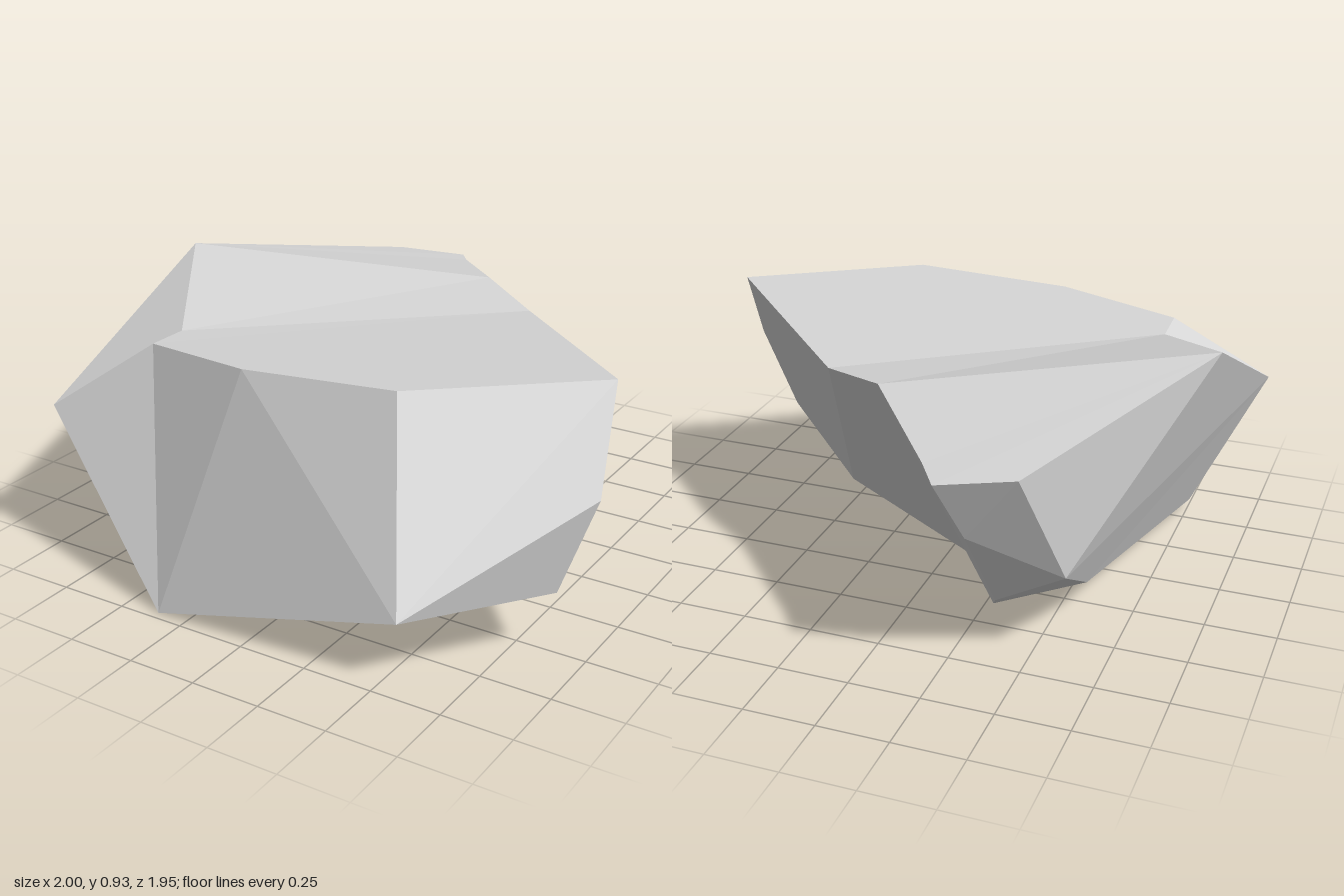
import * as THREE from 'three';

// Named corners of the faceted boulder
const P = {
  // upper rear slab
  ridgeL: [-0.96, 0.93, -0.07], backL: [-0.53, 0.766, -0.89], backR: [-0.285, 0.75, -0.975],
  backMid: [-0.215, 0.767, -0.875], ridgeR: [0.08, 0.843, -0.52],
  // main top
  stepR: [0.33, 0.803, -0.365], stepL: [-0.66, 0.78, 0.405], topA: [-0.655, 0.785, 0.57],
  topB: [-0.2, 0.818, 0.67], topC: [0.375, 0.85, 0.633], topD: [0.937, 0.865, 0.22],
  // waist
  sideL: [-1, 0.535, 0.725], sideR: [1, 0.553, 0.45],
  // lower front and right
  toeL: [-0.365, 0, 0.97], toeR: [0.563, 0.23, 0.948], heelR: [0.893, 0.226, 0.51],
  // underside and lower back
  footL: [-0.757, 0.04, 0.575], baseA: [0.46, 0.14, 0.1], baseB: [-0.1, 0.05, -0.14], baseC: [-0.19, 0.024, -0.22],
  baseD: [-0.31, 0.061, -0.465], baseE: [-0.38, 0.193, -0.653], baseF: [-0.35, 0.527, -0.867],
  cornerA: [-0.6, 0.127, -0.325], cornerB: [-0.62, 0.327, -0.66],
};

// Each facet is a ring of corners, split as a fan from the first
const FACETS = {
  top: ['stepR stepL topA topB topC topD', 'ridgeL backL backR backMid ridgeR'],
  step: ['stepL ridgeL ridgeR stepR', 'sideL ridgeL stepL', 'sideL stepL topA'],
  front: ['sideL topA toeL', 'topA topB toeL', 'topB toeR toeL', 'topB topC toeR',
    'topC topD toeR', 'topD sideR toeR', 'sideR heelR toeR'],
  rightSide: ['topD sideR heelR', 'topD heelR baseA stepR', 'stepR baseA baseB ridgeR'],
  back: ['ridgeR baseB baseC baseD backMid', 'backMid baseD baseE baseF backR', 'backL backR baseF cornerB',
    'baseF baseE cornerB', 'baseE baseD cornerA cornerB'],
  leftSide: ['sideL footL toeL', 'ridgeL backL cornerB', 'sideL ridgeL cornerB',
    'sideL cornerB cornerA', 'sideL cornerA footL'],
  underside: ['footL toeL toeR', 'footL toeR heelR baseA baseB', 'footL baseB baseC', 'footL baseC baseD cornerA'],
};

// Build facets as flat triangles, all wound to face away from the core
function facetGeometry(rings) {
  const core = new THREE.Vector3(-0.1, 0.42, 0.05);
  const out = [];
  for (const ring of rings) {
    const v = ring.split(' ').map((n) => new THREE.Vector3(...P[n]));
    for (let i = 1; i < v.length - 1; i++) {
      const t = [v[0], v[i], v[i + 1]];
      const n = t[1].clone().sub(t[0]).cross(t[2].clone().sub(t[0]));
      if (n.dot(t[0].clone().sub(core)) < 0) t.reverse();
      t.forEach((p) => out.push(p.x, p.y, p.z));
    }
  }
  const g = new THREE.BufferGeometry();
  g.setAttribute('position', new THREE.Float32BufferAttribute(out, 3));
  g.computeVertexNormals();
  return g;
}

export function createModel() {
  const stone = new THREE.MeshStandardMaterial({ color: 0xd4d4d4 });
  stone.name = 'pale grey stone';
  const rock = new THREE.Group();
  rock.name = 'rock';
  for (const [name, rings] of Object.entries(FACETS)) {
    const mesh = new THREE.Mesh(facetGeometry(rings), stone);
    mesh.name = name;
    rock.add(mesh);
  }
  return rock;
}
